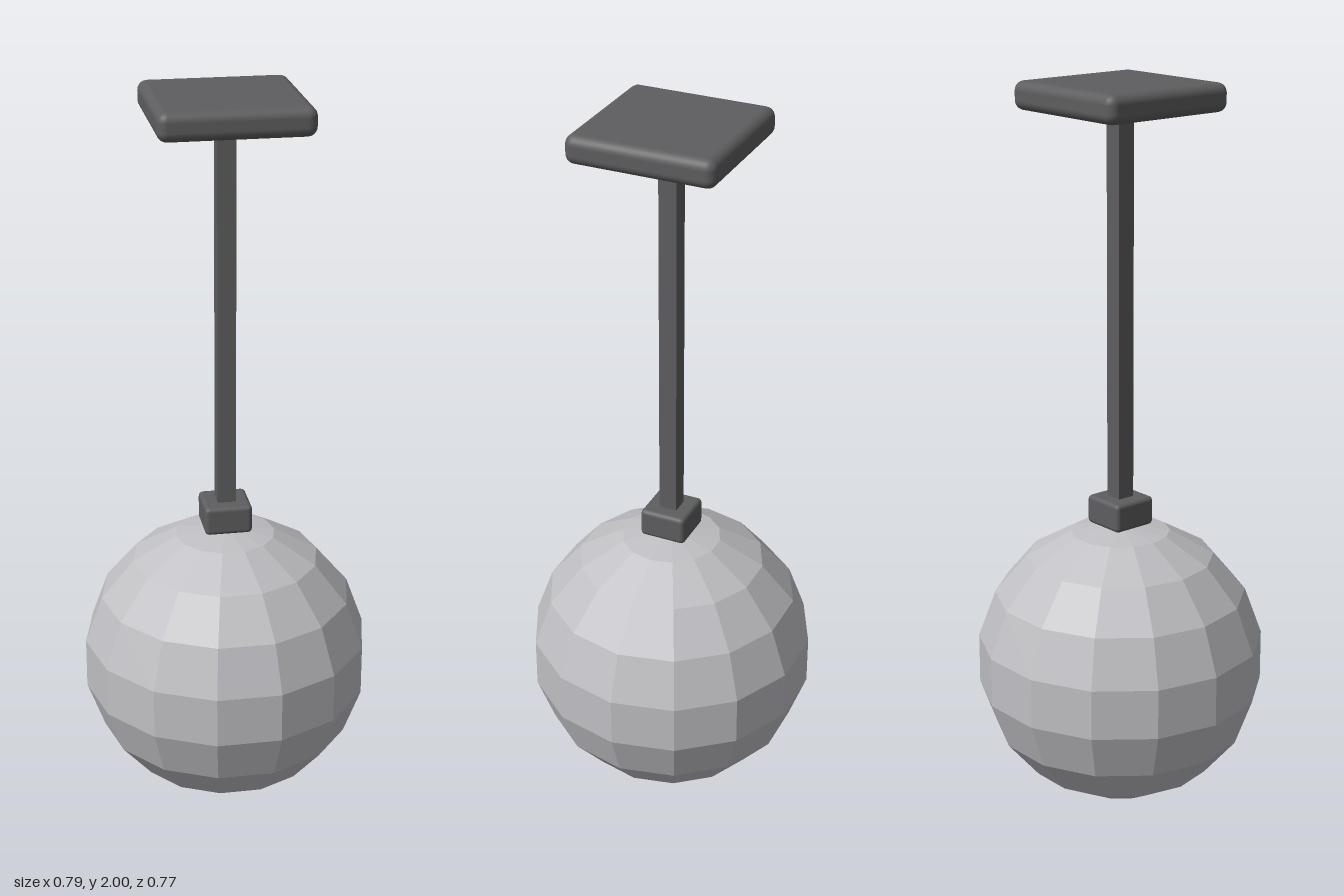
import * as THREE from 'three';
import { RoundedBoxGeometry } from 'three/addons/geometries/RoundedBoxGeometry.js';

export function createModel() {
  const group = new THREE.Group();

  const darkMetal = new THREE.MeshStandardMaterial({ color: 0x5e5e60 });
  darkMetal.name = 'darkMetal';
  const paleGlass = new THREE.MeshStandardMaterial({ color: 0xc0c0c4, flatShading: true });
  paleGlass.name = 'paleGlass';

  function add(name, geometry, material, y) {
    const mesh = new THREE.Mesh(geometry, material);
    mesh.name = name;
    mesh.position.y = y;
    group.add(mesh);
  }

  // Faceted globe: 14 sides, with a band of facets round the middle
  const radius = 0.4;
  add('globe', new THREE.SphereGeometry(radius, 14, 9), paleGlass, 0.403);

  // Square collar holding the globe
  add('collar', new RoundedBoxGeometry(0.13, 0.08, 0.13, 2, 0.012), darkMetal, 0.84);

  // Square hanging rod
  add('rod', new THREE.BoxGeometry(0.05, 1.08, 0.05), darkMetal, 1.405);

  // Ceiling plate with soft edges
  add('ceilingPlate', new RoundedBoxGeometry(0.4, 0.076, 0.4, 3, 0.026), darkMetal, 1.962);

  return group;
}
